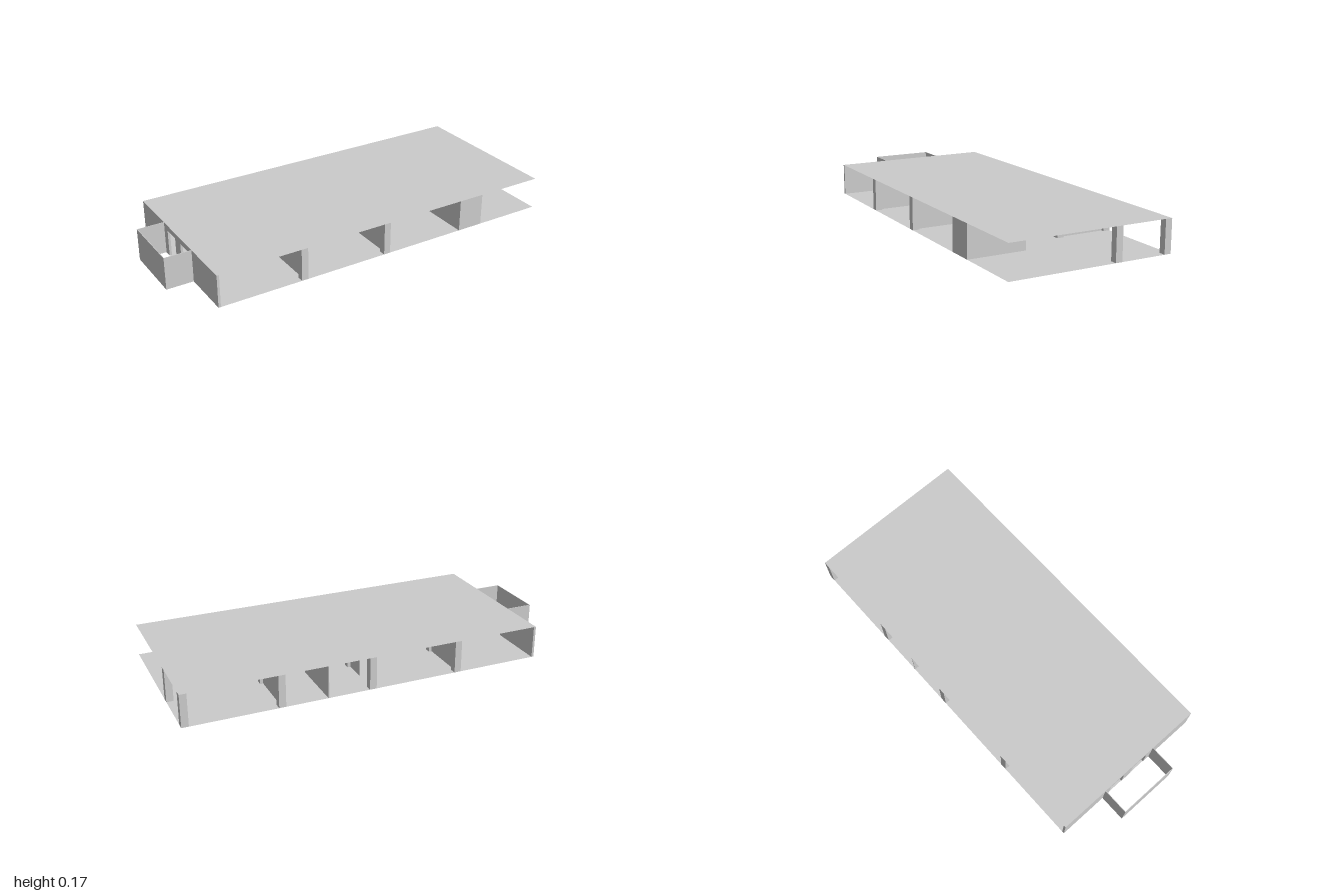
import * as THREE from 'three';

export function createModel() {
  const group = new THREE.Group();
  const material = new THREE.MeshStandardMaterial({ color: 0xcccccc, side: THREE.DoubleSide });
  const H = 0.167, DOOR = 0.138, HALF = 0.425, HALL = 0.12, COL = 0.035;

  // Box given by its limits on each axis
  function block(name, x0, x1, y0, y1, z0, z1) {
    const mesh = new THREE.Mesh(new THREE.BoxGeometry(x1 - x0, y1 - y0, z1 - z0), material);
    mesh.position.set((x0 + x1) / 2, (y0 + y1) / 2, (z0 + z1) / 2);
    mesh.name = name;
    group.add(mesh);
  }

  // Thin floor and ceiling sheets
  function sheet(name, y) {
    const mesh = new THREE.Mesh(new THREE.PlaneGeometry(1.86, HALF * 2), material);
    mesh.rotation.x = -Math.PI / 2;
    mesh.position.set(0.07, y, 0);
    mesh.name = name;
    group.add(mesh);
  }
  sheet('floor', 0);
  sheet('ceiling', H);

  // Columns on the structural grid, at the outer edge and beside the hall
  const columnPair = (x, side) => {
    for (const z of [HALF - COL / 2, HALL + COL / 2]) {
      block('column', x - COL, x, 0, H, side * z - COL / 2, side * z + COL / 2);
    }
  };
  for (const x of [1, 0.535, 0.07, -0.395]) columnPair(x, -1);
  for (const x of [0.07, -0.395]) columnPair(x, 1);

  // Thin cross walls between the bays
  const crossWall = (x, z0, z1, y0 = 0) => block('partition', x - 0.002, x + 0.002, y0, H, z0, z1);
  for (const x of [0.0525, -0.4125]) crossWall(x, HALL, HALF);
  for (const x of [0.5175, 0.285, -0.4125]) crossWall(x, -HALF, -HALL);

  // Back cross wall with a doorway
  crossWall(0.0525, -HALF, -0.355);
  crossWall(0.0525, -0.355, -0.265, DOOR);
  crossWall(0.0525, -0.265, -HALL);

  // Closed front shaft
  block('shaftFront', 0.5, 0.64, 0, H, HALF - 0.005, HALF);
  for (const x of [0.502, 0.638]) block('shaftSide', x - 0.002, x + 0.002, 0, H, HALL, HALF);

  // End wall with two doorways
  const ex0 = -0.862, ex1 = -0.85;
  block('endWall', ex0, ex1, 0, H, HALL, HALF);
  block('endWall', ex0, ex1, 0, H, -HALF, -HALL);
  block('doorPost', ex0, ex1, 0, DOOR, -0.03, 0.03);
  block('doorLintel', ex0, ex1, DOOR, H, -HALL, HALL);

  // Annex walls, open above and below
  block('annexEnd', -1, -0.997, 0, H, -0.16, 0.16);
  for (const z of [-0.16, 0.16]) block('annexSide', -1, ex0, 0, H, z - 0.0015, z + 0.0015);

  // Small ceiling discs in the back bays
  for (const x of [0.72, -0.21, -0.675]) {
    const disc = new THREE.Mesh(new THREE.CylinderGeometry(0.018, 0.018, 0.003, 16), material);
    disc.position.set(x, H - 0.002, -0.25);
    disc.name = 'ceilingDisc';
    group.add(disc);
  }
  return group;
}
